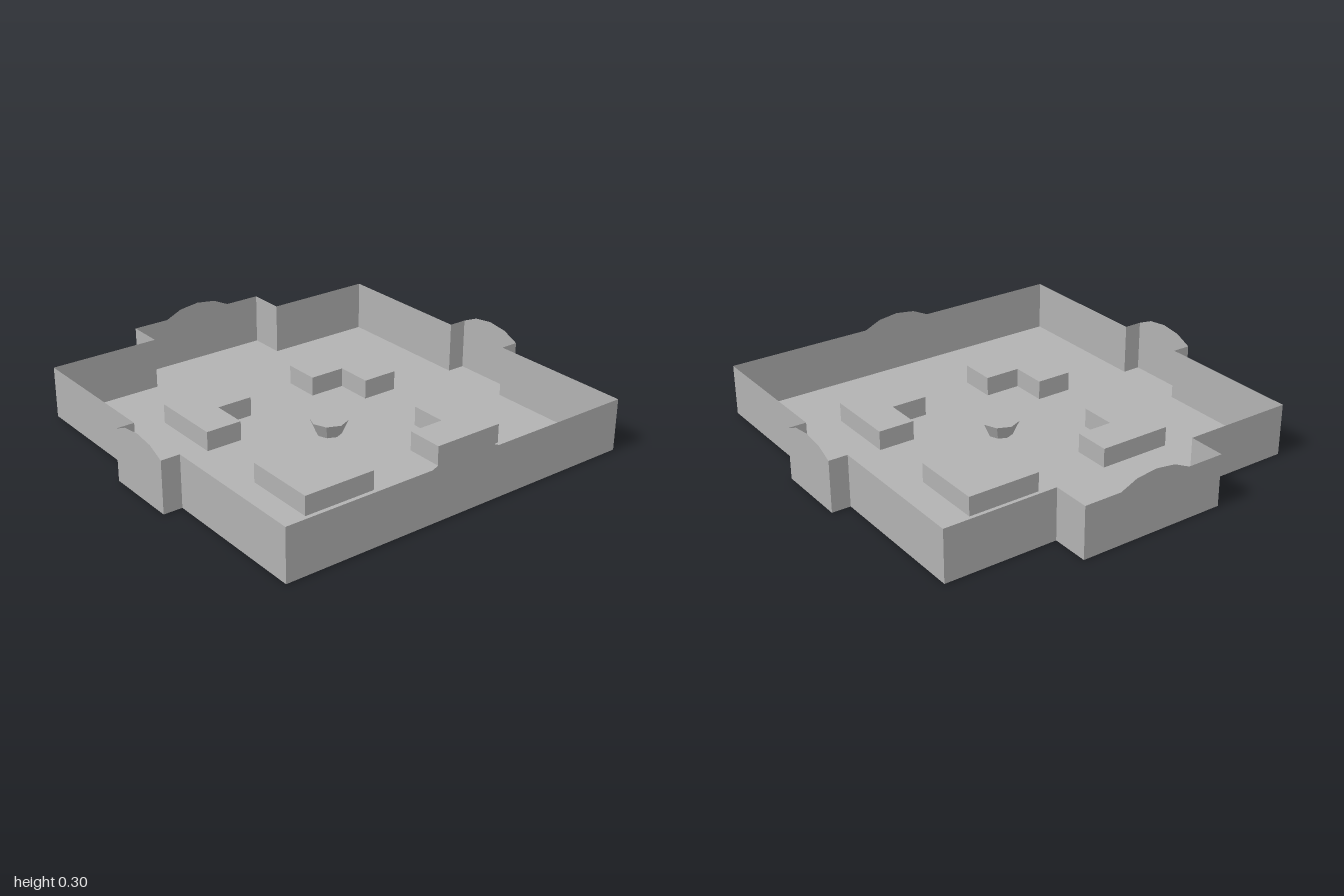
import * as THREE from 'three';

const U = 1 / 11; // plan grid unit
const WALL_H = 0.25, BLOCK_H = 0.095, CUP_H = 0.07, CENTRE_Z = U;

// Arched crest rising above a wall: offset along the wall, height
const CREST = [[-2 * U, 0.25], [-0.1, 0.287], [0, 0.3], [0.1, 0.287], [2 * U, 0.25]];

// Floor outline with shallow alcoves on three sides (x, z in units)
const OUTLINE = [
  [-10, 11], [10, 11], [10, 3], [11, 3], [11, -1], [10, -1], [10, -9], [4, -9],
  [4, -11], [-4, -11], [-4, -9], [-10, -9], [-10, -1], [-11, -1], [-11, 3], [-10, 3],
];
const CRESTED = [0, 3, 8, 13]; // outline edges that carry a crest

export function createModel() {
  const model = new THREE.Group();
  const stone = new THREE.MeshStandardMaterial({
    color: 0xb2b2b2, side: THREE.DoubleSide, flatShading: true,
  });
  stone.name = 'grey stone';

  const add = (name, geometry) => {
    const mesh = new THREE.Mesh(geometry, stone);
    mesh.name = name;
    model.add(mesh);
    return mesh;
  };
  // Shapes are drawn in x, -z so that they lie flat facing up
  const flat = (points) => points.map(([x, z]) => new THREE.Vector2(x, -z));
  const layFlat = (geometry, y) => geometry.rotateX(-Math.PI / 2).translate(0, y, 0);

  // Corner block outlines, mirrored round the centre
  const blocks = [];
  for (const sx of [-1, 1]) for (const sz of [-1, 1]) {
    blocks.push([[6, 6], [2, 6], [2, 4], [4, 4], [4, 2], [6, 2]]
      .map(([x, z]) => [sx * x * U, CENTRE_Z + sz * z * U]));
  }
  const cupFoot = Array.from({ length: 8 }, (_, i) => {
    const a = i * Math.PI / 4;
    return [0.06 * Math.sin(a), CENTRE_Z + 0.06 * Math.cos(a)];
  });

  // Floor, open beneath the hollow blocks and cup
  const floor = new THREE.Shape(flat(OUTLINE.map(([x, z]) => [x * U, z * U])));
  for (const hole of [...blocks, cupFoot]) floor.holes.push(new THREE.Path(flat(hole)));
  add('floor', layFlat(new THREE.ShapeGeometry(floor), 0));

  // Thin upright panel from a to b, facing outward
  const panel = (name, a, b, crested) => {
    const dx = (b[0] - a[0]) * U, dz = (b[1] - a[1]) * U;
    const half = Math.hypot(dx, dz) / 2;
    const pts = [[-half, 0], [half, 0], [half, WALL_H]];
    if (crested) pts.push(...[...CREST].reverse().filter(([x, y]) => Math.abs(x) < half - 1e-6 || y > WALL_H));
    pts.push([-half, WALL_H]);
    const shape = new THREE.Shape(pts.map(([x, y]) => new THREE.Vector2(x, y)));
    const mesh = add(name, new THREE.ShapeGeometry(shape));
    mesh.rotation.y = Math.atan2(-dz, dx);
    mesh.position.set((a[0] + b[0]) * U / 2, 0, (a[1] + b[1]) * U / 2);
  };
  OUTLINE.forEach((a, i) => {
    const crested = CRESTED.includes(i);
    panel(crested ? 'crestedWall' : 'wall', a, OUTLINE[(i + 1) % OUTLINE.length], crested);
  });

  // Hollow L-shaped blocks: a lid and a skirt of side faces
  for (const block of blocks) {
    add('blockTop', layFlat(new THREE.ShapeGeometry(new THREE.Shape(flat(block))), BLOCK_H));
    const position = [];
    const area = block.reduce((s, [x, z], i) => {
      const [x2, z2] = block[(i + 1) % block.length];
      return s + x * z2 - x2 * z;
    }, 0);
    const ring = area < 0 ? block : [...block].reverse(); // anticlockwise from above
    ring.forEach(([x, z], i) => {
      const [x2, z2] = ring[(i + 1) % ring.length];
      position.push(x, 0, z, x2, 0, z2, x2, BLOCK_H, z2, x, 0, z, x2, BLOCK_H, z2, x, BLOCK_H, z);
    });
    const skirt = new THREE.BufferGeometry();
    skirt.setAttribute('position', new THREE.Float32BufferAttribute(position, 3));
    skirt.computeVertexNormals();
    add('blockSides', skirt);
  }

  // Central flared cup with a flat top
  add('cupSides', new THREE.CylinderGeometry(U, 0.06, CUP_H, 8, 1, true)
    .translate(0, CUP_H / 2, CENTRE_Z));
  add('cupTop', new THREE.CircleGeometry(U, 8).rotateX(-Math.PI / 2)
    .translate(0, CUP_H, CENTRE_Z));

  return model;
}
